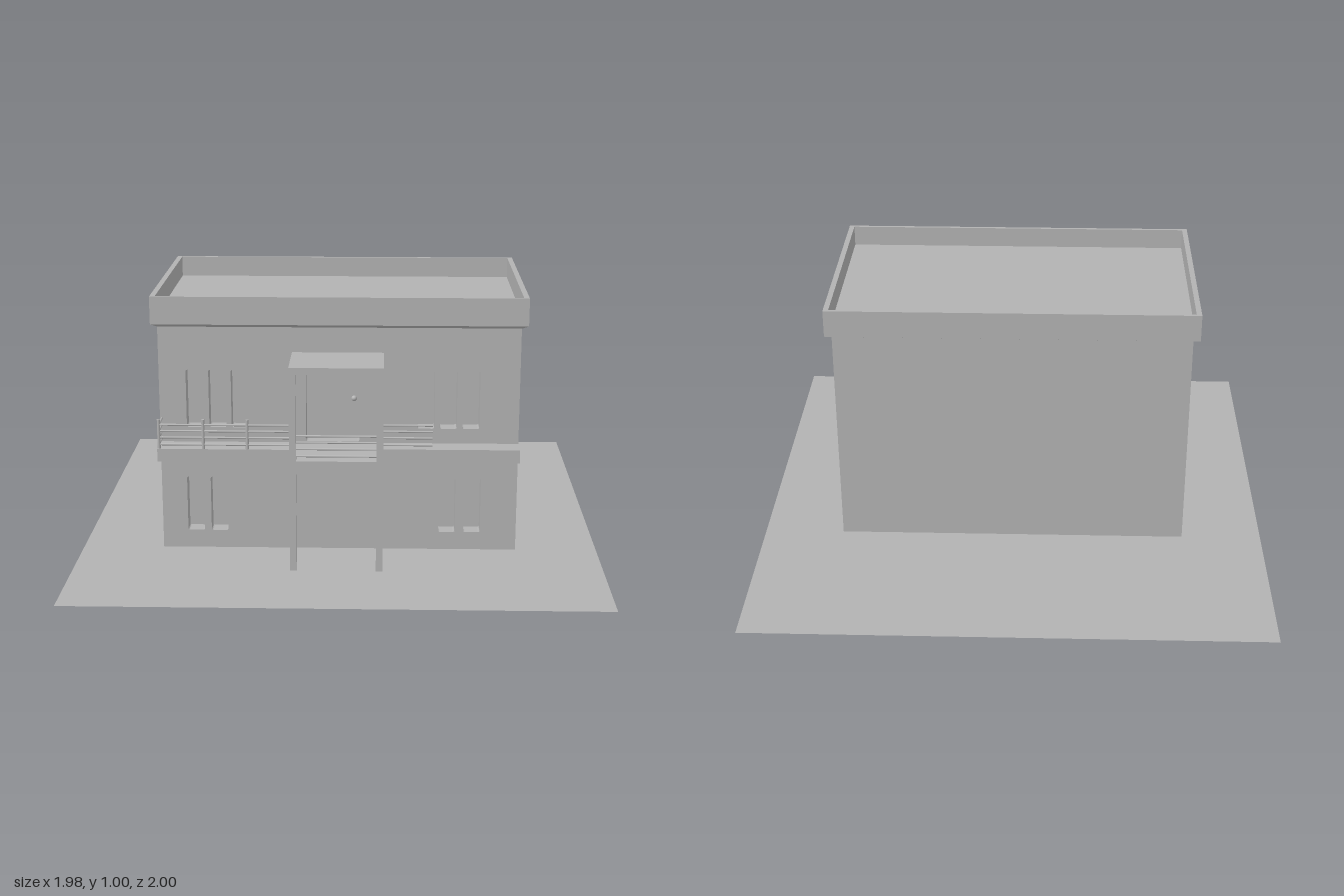
import * as THREE from 'three';

const grey = new THREE.MeshStandardMaterial({ color: 0xb2b2b2 });
grey.name = 'plain grey';
const greySheet = new THREE.MeshStandardMaterial({ color: 0xb2b2b2, side: THREE.DoubleSide });
greySheet.name = 'plain grey sheet';

const BASE = 0.0155;

export function createModel() {
  const model = new THREE.Group();
  model.name = 'house';

  function add(name, geometry, material = grey) {
    const mesh = new THREE.Mesh(geometry, material);
    mesh.name = name;
    model.add(mesh);
    return mesh;
  }
  // Box given by its limits
  function box(name, x0, x1, y0, y1, z0, z1) {
    const mesh = add(name, new THREE.BoxGeometry(x1 - x0, y1 - y0, z1 - z0));
    mesh.position.set((x0 + x1) / 2, (y0 + y1) / 2, (z0 + z1) / 2);
  }
  // Round bar between two points
  function bar(name, a, b, radius) {
    const from = new THREE.Vector3(...a), to = new THREE.Vector3(...b);
    const dir = to.clone().sub(from);
    const mesh = add(name, new THREE.CylinderGeometry(radius, radius, dir.length(), 8));
    mesh.position.copy(from).add(to).multiplyScalar(0.5);
    mesh.quaternion.setFromUnitVectors(new THREE.Vector3(0, 1, 0), dir.normalize());
  }
  // Horizontal sheet
  function sheet(name, x0, x1, z0, z1, y) {
    const mesh = add(name, new THREE.PlaneGeometry(x1 - x0, z1 - z0).rotateX(-Math.PI / 2), greySheet);
    mesh.position.set((x0 + x1) / 2, y, (z0 + z1) / 2);
  }
  function rectangle(path, x0, x1, y0, y1, r) {
    path.moveTo(x0 + r, y0);
    path.lineTo(x1 - r, y0);
    path.quadraticCurveTo(x1, y0, x1, y0 + r);
    path.lineTo(x1, y1 - r);
    path.quadraticCurveTo(x1, y1, x1 - r, y1);
    path.lineTo(x0 + r, y1);
    path.quadraticCurveTo(x0, y1, x0, y1 - r);
    path.lineTo(x0, y0 + r);
    path.quadraticCurveTo(x0, y0, x0 + r, y0);
    return path;
  }

  // Ground and porch paving
  sheet('ground', -0.99, 0.99, -1, 1, 0);
  sheet('porchPaving', -0.205, 0.205, 0.45, 0.685, BASE);

  // House body; its front face closes the window recesses
  box('houseBody', -0.675, 0.675, BASE, 0.885, -0.35, 0.39);

  // Front wall with window and door openings
  const wall = new THREE.Shape([[-0.675, BASE], [0.675, BASE], [0.675, 0.885], [-0.675, 0.885]]
    .map(([x, y]) => new THREE.Vector2(x, y)));
  const opening = (x, w, y0, y1) => wall.holes.push(rectangle(new THREE.Path(), x, x + w, y0, y1, 0.007));
  for (const x of [-0.574, -0.489, -0.405, 0.294, 0.378, 0.463]) opening(x, 0.064, 0.497, 0.72);
  for (const x of [-0.579, -0.489, 0.378, 0.474]) opening(x, 0.064, 0.085, 0.3);
  opening(-0.124, 0.201, 0.445, 0.74);
  const wallGeometry = new THREE.ExtrudeGeometry(wall, { depth: 0.06, bevelEnabled: false, curveSegments: 3 });
  add('frontWall', wallGeometry).position.z = 0.39;

  const knob = add('doorKnob', new THREE.SphereGeometry(0.011, 12, 8));
  knob.position.set(0.056, 0.6, 0.4);

  // Parapet: rectangular loops from the sloping underside over the rim to the roof
  const loops = [
    [0.675, -0.35, 0.45, 0.885], [0.7, -0.37, 0.46, 0.895], [0.7, -0.37, 0.46, 1],
    [0.68, -0.357, 0.448, 1], [0.68, -0.357, 0.448, 0.92],
  ].map(([x, z0, z1, y]) => [[-x, y, z1], [x, y, z1], [x, y, z0], [-x, y, z0]]);
  const points = [];
  for (let i = 0; i < loops.length - 1; i++) {
    for (let j = 0; j < 4; j++) {
      const k = (j + 1) % 4;
      const [a, b, c, d] = [loops[i][j], loops[i][k], loops[i + 1][k], loops[i + 1][j]];
      points.push(...a, ...b, ...c, ...a, ...c, ...d);
    }
  }
  const parapet = new THREE.BufferGeometry();
  parapet.setAttribute('position', new THREE.Float32BufferAttribute(points, 3));
  parapet.computeVertexNormals();
  add('parapet', parapet);
  sheet('roof', -0.68, 0.68, -0.357, 0.448, 0.92);

  // Balcony slabs and porch canopy
  box('leftBalcony', 0.167, 0.675, 0.39, 0.44, 0.45, 0.532);
  box('rightBalcony', -0.675, -0.175, 0.39, 0.44, 0.45, 0.547);
  box('porchBalcony', -0.175, 0.167, 0.39, 0.44, 0.45, 0.685);
  box('porchCanopy', -0.175, 0.167, 0.765, 0.79, 0.45, 0.685);

  // Columns below and above the porch balcony
  for (const x of [-0.175, 0.142]) {
    box('lowerColumn', x, x + 0.025, BASE, 0.39, 0.66, 0.685);
    box('upperColumn', x, x + 0.025, 0.44, 0.765, 0.66, 0.685);
  }

  // Railing posts
  for (const x of [-0.668, -0.503, -0.339, -0.168, 0.16]) {
    bar('railingPost', [x, 0.44, 0.54], [x, 0.553, 0.54], 0.006);
  }
  // Railing bars along the balconies and around the porch
  for (const y of [0.532, 0.508, 0.483, 0.456]) {
    bar('endRail', [-0.668, y, 0.45], [-0.668, y, 0.54], 0.004);
    bar('rightRail', [-0.668, y, 0.54], [-0.168, y, 0.54], 0.004);
    bar('porchSideRail', [-0.168, y, 0.54], [-0.168, y, 0.672], 0.004);
    bar('porchFrontRail', [-0.168, y, 0.672], [0.16, y, 0.672], 0.004);
    bar('porchSideRail', [0.16, y, 0.672], [0.16, y, 0.54], 0.004);
    bar('leftRail', [0.16, y, 0.528], [0.35, y, 0.528], 0.004);
  }
  return model;
}
